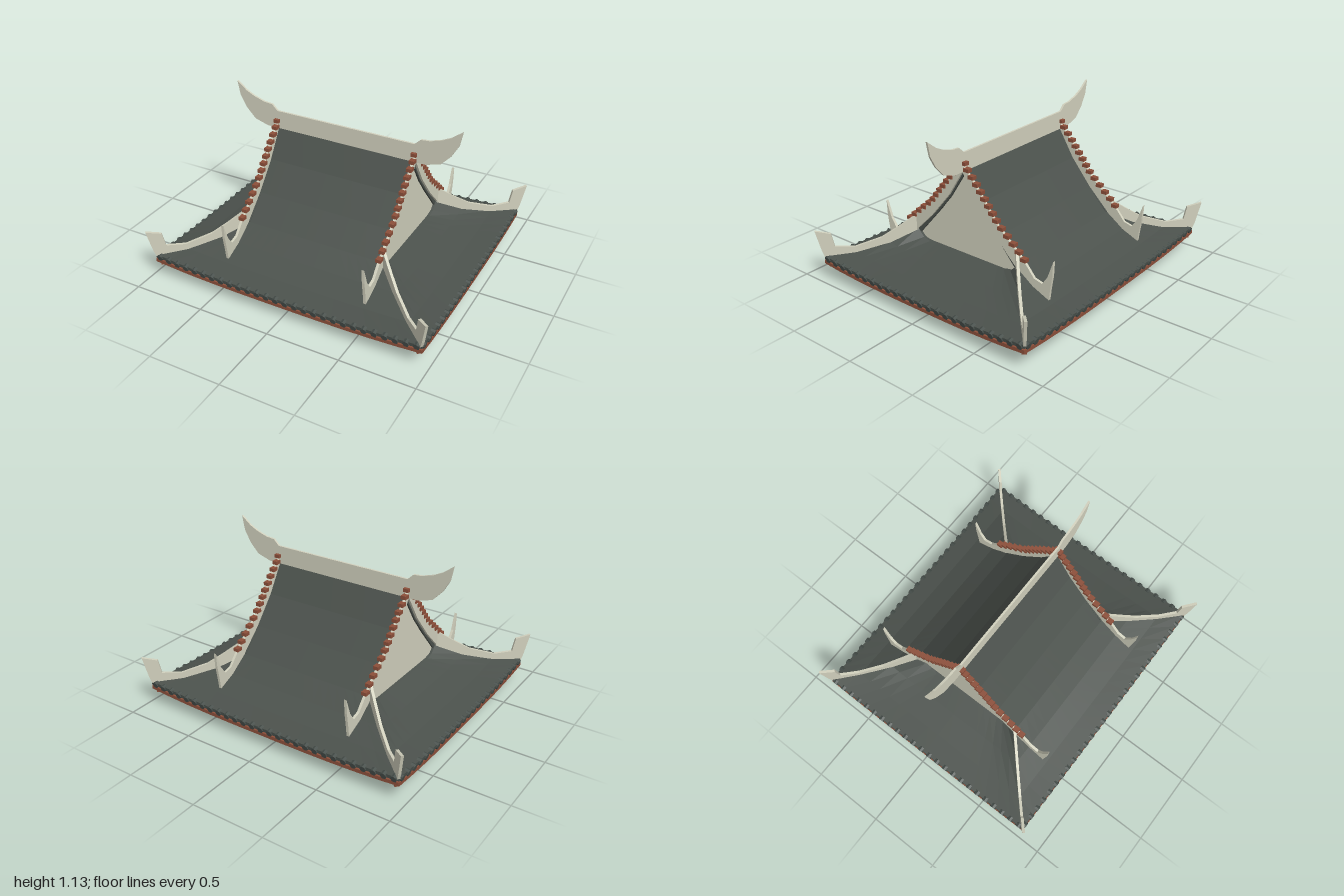
import * as THREE from 'three';

const mat = (name, color, extra = {}) =>
  Object.assign(new THREE.MeshStandardMaterial({ color, flatShading: true, ...extra }), { name });

export function createModel() {
  const slate = mat('slate roof', 0x4b514c, { side: THREE.DoubleSide });
  const tileGrey = mat('dark tile', 0x454d49);
  const cream = mat('cream plaster', 0xd1d0bd, { side: THREE.DoubleSide });
  const red = mat('red timber', 0x8c4f3a);
  const model = new THREE.Group();
  model.name = 'hipAndGableRoof';

  const add = (parent, name, geo, material, x = 0, y = 0, z = 0) => {
    const m = new THREE.Mesh(geo, material);
    m.name = name;
    m.position.set(x, y, z);
    parent.add(m);
    return m;
  };
  // flat plate cut from an outline, centred on its thickness
  const plate = (pts, t) => {
    const shape = new THREE.Shape(pts.map(p => new THREE.Vector2(...p)));
    return new THREE.ExtrudeGeometry(shape, { depth: t, bevelEnabled: false }).translate(0, 0, -t / 2);
  };
  // square-cut timber between two points, in the parent's own frame
  const beam = (parent, name, a, b, w, h, material = red) => {
    const A = new THREE.Vector3(...a), B = new THREE.Vector3(...b);
    const m = add(parent, name, new THREE.BoxGeometry(w, h, A.distanceTo(B)), material);
    m.position.copy(A).lerp(B, 0.5);
    m.quaternion.setFromRotationMatrix(new THREE.Matrix4().lookAt(B, A, new THREE.Vector3(0, 1, 0)));
  };
  const lift = ([, , yc, yh, p], s) => yc + (yh - yc) * Math.abs(s) ** p;

  // curved slope facing +z; rows are [half width, distance out, centre y, hip y, curve power]
  const slope = (rows, cols = 16) => {
    const pos = [], idx = [];
    rows.forEach((r, i) => {
      for (let j = 0; j <= cols; j++) {
        const s = (j / cols) * 2 - 1;
        pos.push(s * r[0], lift(r, s), r[1]);
        if (i && j) {
          const d = i * (cols + 1) + j, c = d - 1, b = d - cols - 1, a = b - 1;
          idx.push(a, c, d, a, d, b);
        }
      }
    });
    const g = new THREE.BufferGeometry();
    g.setAttribute('position', new THREE.Float32BufferAttribute(pos, 3));
    g.setIndex(idx);
    g.computeVertexNormals();
    return g;
  };
  const longRows = [
    [0.5, 0, 0.86, 0.86, 1], [0.5, 0.12, 0.665, 0.665, 1], [0.5, 0.27, 0.485, 0.485, 1],
    [0.5, 0.42, 0.335, 0.335, 1], [0.64, 0.55, 0.24, 0.248, 3], [0.81, 0.7, 0.175, 0.19, 3], [0.96, 0.84, 0.145, 0.175, 3]];
  const endRows = [
    [0.42, 0.47, 0.275, 0.335, 14], [0.42, 0.5, 0.265, 0.335, 10], [0.55, 0.64, 0.212, 0.248, 5],
    [0.7, 0.81, 0.168, 0.19, 3], [0.84, 0.96, 0.145, 0.175, 3]];

  // slopes with eaves, rafters and lower frame, four sides
  const tileGeo = new THREE.CylinderGeometry(0.021, 0.021, 0.03, 8).rotateX(Math.PI / 2 + 0.2);
  const rafterGeo = new THREE.BoxGeometry(0.016, 0.018, 0.09).rotateX(0.2);
  for (let k = 0; k < 4; k++) {
    const isEnd = k % 2 === 1;
    const rows = isEnd ? endRows : longRows;
    const side = new THREE.Group();
    side.name = isEnd ? 'endSide' : 'longSide';
    side.rotation.y = k * Math.PI / 2;
    model.add(side);
    add(side, 'roofSlope', slope(rows), slate);

    const eave = rows[rows.length - 1], [hw, out] = eave;
    const tiles = isEnd ? 24 : 28;
    for (let i = 0; i < tiles; i++) {
      const s = ((i + 0.5) / tiles) * 2 - 1;
      add(side, 'eaveTile', tileGeo, tileGrey, s * hw, lift(eave, s) - 0.013, out - 0.008);
    }
    for (let i = 0; i < tiles * 2; i++) {
      const s = ((i + 0.5) / (tiles * 2)) * 2 - 1;
      add(side, 'rafterEnd', rafterGeo, red, s * (hw - 0.03), lift(eave, s) - 0.032, out - 0.047);
    }
    for (let i = 0; i < 12; i++) {
      const s0 = i / 6 - 1, s1 = (i + 1) / 6 - 1;
      const run = (name, drop, w, h, material) => beam(side, name,
        [s0 * hw, lift(eave, s0) - drop, out - 0.006], [s1 * hw, lift(eave, s1) - drop, out - 0.006], w, h, material);
      run('eaveDrip', 0.011, 0.012, 0.022, tileGrey);
      run('eaveFascia', 0.042, 0.018, 0.024, red);
    }
    // lower tie beam; the end ones turn up towards the corners
    const rise = isEnd ? 0.02 : 0;
    beam(side, 'tieBeam', [-0.5, 0.016, 0.7], [0.5, 0.016, 0.7], 0.022, 0.022);
    for (const s of [-1, 1])
      beam(side, 'tieBeamEnd', [s * 0.5, 0.016, 0.7], [s * 0.69, 0.016 + rise, 0.7], 0.022, 0.022);
    // brackets stepping outwards
    for (const x of [-0.335, 0, 0.335])
      for (let i = 0; i < 4; i++) {
        const len = 0.07 + i * 0.017;
        add(side, 'bracketStep', new THREE.BoxGeometry(i % 2 ? 0.032 : 0.026, 0.02, len), red,
          x, 0.034 + i * 0.02, 0.67 + len / 2);
      }
  }

  // corner brackets, hip rafters and upturned hip ridges
  const hipGeo = plate([[0.5, 0.44], [0.6, 0.35], [0.68, 0.285], [0.81, 0.23], [0.905, 0.24], [0.92, 0.335],
    [0.995, 0.36], [0.968, 0.21], [0.957, 0.168], [0.81, 0.186], [0.64, 0.243], [0.5, 0.328]]
    .map(([x, y]) => [(x - 0.5) * 1.359, y]), 0.018);
  for (const sx of [-1, 1]) for (const sz of [-1, 1]) {
    const hip = add(model, 'hipRidge', hipGeo, cream, sx * 0.5, 0, sz * 0.42);
    hip.rotation.y = Math.atan2(-sz * 0.46, sx * 0.5);
    beam(model, 'hipRafter', [sx * 0.78, 0.145, sz * 0.68], [sx * 0.94, 0.12, sz * 0.825], 0.03, 0.045);
    add(model, 'cornerBracketFoot', new THREE.BoxGeometry(0.025, 0.03, 0.025), red, sx * 0.695, 0.015, sz * 0.695);
    for (let i = 0; i < 4; i++) {
      const w = 0.07 + i * 0.017, c = 0.67 + w / 2;
      add(model, 'cornerBracketStep', new THREE.BoxGeometry(w, 0.02, w), red, sx * c, 0.034 + i * 0.02, sz * c);
    }
  }

  // gable walls and dark barge strips
  const gableEdge = [[0.395, 0.272], [0.412, 0.305], [0.3, 0.425], [0.2, 0.54], [0.1, 0.675]];
  const gableGeo = plate([...gableEdge, [0, 0.83], ...gableEdge.map(([z, y]) => [-z, y]).reverse()], 0.008);
  // verge ridge that ends in an upturned horn
  const vergeTop = [[0, 0.9], [0.12, 0.765], [0.27, 0.575], [0.42, 0.445], [0.5, 0.37]];
  const vergeGeo = plate([...vergeTop, [0.56, 0.3], [0.62, 0.285], [0.66, 0.345], [0.7, 0.46], [0.695, 0.36],
    [0.68, 0.26], [0.67, 0.178], [0.55, 0.235], [0.42, 0.33], [0.27, 0.48], [0.12, 0.66], [0, 0.85]], 0.018);
  const bargeGeo = plate([[0, 0.855], [0.12, 0.665], [0.27, 0.485], [0.42, 0.34], [0.42, 0.3], [0.4, 0.31],
    [0.27, 0.46], [0.12, 0.64], [0, 0.825]], 0.012);
  const brickGeo = new THREE.BoxGeometry(0.036, 0.024, 0.042);
  const vergeZ = y => {
    const i = Math.max(1, vergeTop.findIndex(p => p[1] <= y));
    const [z0, y0] = vergeTop[i - 1], [z1, y1] = vergeTop[i];
    return z0 + (z1 - z0) * (y0 - y) / (y0 - y1);
  };
  for (const sx of [-1, 1]) {
    add(model, 'gableWall', gableGeo, cream, sx * 0.48).rotation.y = -Math.PI / 2;
    add(model, 'ridgeEndBlock', new THREE.BoxGeometry(0.036, 0.024, 0.06), red, sx * 0.502, 0.906, 0);
    for (const sz of [-1, 1]) {
      add(model, 'vergeRidge', vergeGeo, cream, sx * 0.503).rotation.y = -sz * Math.PI / 2;
      add(model, 'bargeStrip', bargeGeo, slate, sx * 0.49).rotation.y = -sz * Math.PI / 2;
      for (let i = 1; i <= 13; i++) {
        const y = 0.9 - i * 0.0392;
        add(model, 'vergeBlock', brickGeo, red, sx * 0.502, y + 0.006, sz * vergeZ(y));
      }
    }
  }

  // main ridge with sweeping horned ends
  const ridgeEnd = [[0.5, 0.975], [0.54, 1.015], [0.6, 1.02], [0.68, 1.045], [0.74, 1.075], [0.81, 1.13],
    [0.79, 1.03], [0.745, 0.95], [0.68, 0.88], [0.58, 0.85]];
  add(model, 'mainRidge', plate([...ridgeEnd, ...ridgeEnd.map(([x, y]) => [-x, y]).reverse()], 0.014), cream);

  return model;
}
